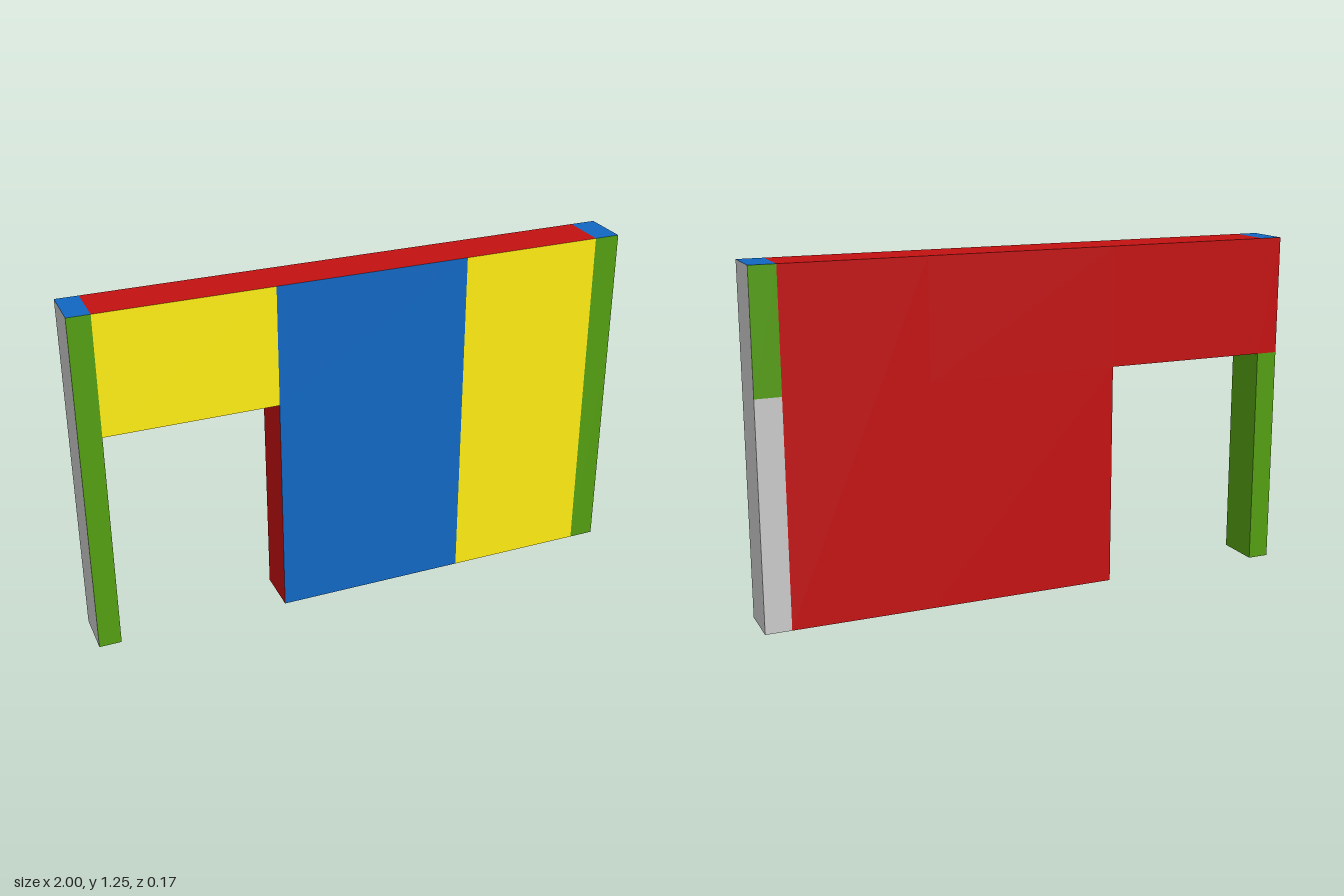
import * as THREE from 'three';

const H = 1.25, D = 0.17, SILL = 0.815; // wall height, thickness, underside of lintel

const paint = (color) => new THREE.MeshStandardMaterial({ color });

// Outward direction of each face as rotation, and which sizes span it
const FACES = {
  front: { n: [0, 0, 1], rot: [0, 0], span: 'xy' },
  back: { n: [0, 0, -1], rot: [0, Math.PI], span: 'xy' },
  left: { n: [1, 0, 0], rot: [0, Math.PI / 2], span: 'zy' },
  right: { n: [-1, 0, 0], rot: [0, -Math.PI / 2], span: 'zy' },
  top: { n: [0, 1, 0], rot: [-Math.PI / 2, 0], span: 'xz' },
  bottom: { n: [0, -1, 0], rot: [Math.PI / 2, 0], span: 'xz' },
};

// A block of wall with a separately painted plane on each exposed side
function block(name, [x0, x1], [y0, y1], sides) {
  const group = new THREE.Group();
  group.name = name;
  group.position.set((x0 + x1) / 2, (y0 + y1) / 2, 0);
  const size = { x: x1 - x0, y: y1 - y0, z: D };
  for (const [side, material] of Object.entries(sides)) {
    const { n, rot, span } = FACES[side];
    const mesh = new THREE.Mesh(new THREE.PlaneGeometry(size[span[0]], size[span[1]]), material);
    mesh.name = `${name} ${side}`;
    mesh.rotation.set(rot[0], rot[1], 0);
    mesh.position.set(n[0] * size.x / 2, n[1] * size.y / 2, n[2] * size.z / 2);
    group.add(mesh);
  }
  return group;
}

export function createModel() {
  const grey = paint(0xcccccc), red = paint(0xc41111), blue = paint(0x1168c4);
  const green = paint(0x549e11), yellow = paint(0xffee13);
  const low = [0, SILL], high = [SILL, H], full = [0, H];
  const rightPost = [-1, -0.92], opening = [-0.92, -0.305];
  const centre = [-0.305, 0.395], side = [0.395, 0.907], leftPost = [0.907, 1];

  const model = new THREE.Group();
  model.name = 'wallWithDoorway';
  model.add(
    // slim post beside the doorway
    block('rightPostLower', rightPost, low, { front: green, back: green, left: green, right: grey, bottom: grey }),
    block('rightPostUpper', rightPost, high, { front: green, back: red, right: grey, top: blue }),
    // lintel over the doorway
    block('lintel', opening, high, { front: yellow, back: red, top: red, bottom: green }),
    // centre panel, whose lower right side is the door jamb
    block('centrePanelLower', centre, low, { front: blue, back: red, right: red, bottom: red }),
    block('centrePanelUpper', centre, high, { front: blue, back: red, top: red }),
    // solid side panel
    block('sidePanel', side, full, { front: yellow, back: red, top: red, bottom: grey }),
    // end post
    block('leftPostLower', leftPost, low, { front: green, back: grey, left: grey, bottom: grey }),
    block('leftPostUpper', leftPost, high, { front: green, back: green, left: grey, top: blue }),
  );
  return model;
}
